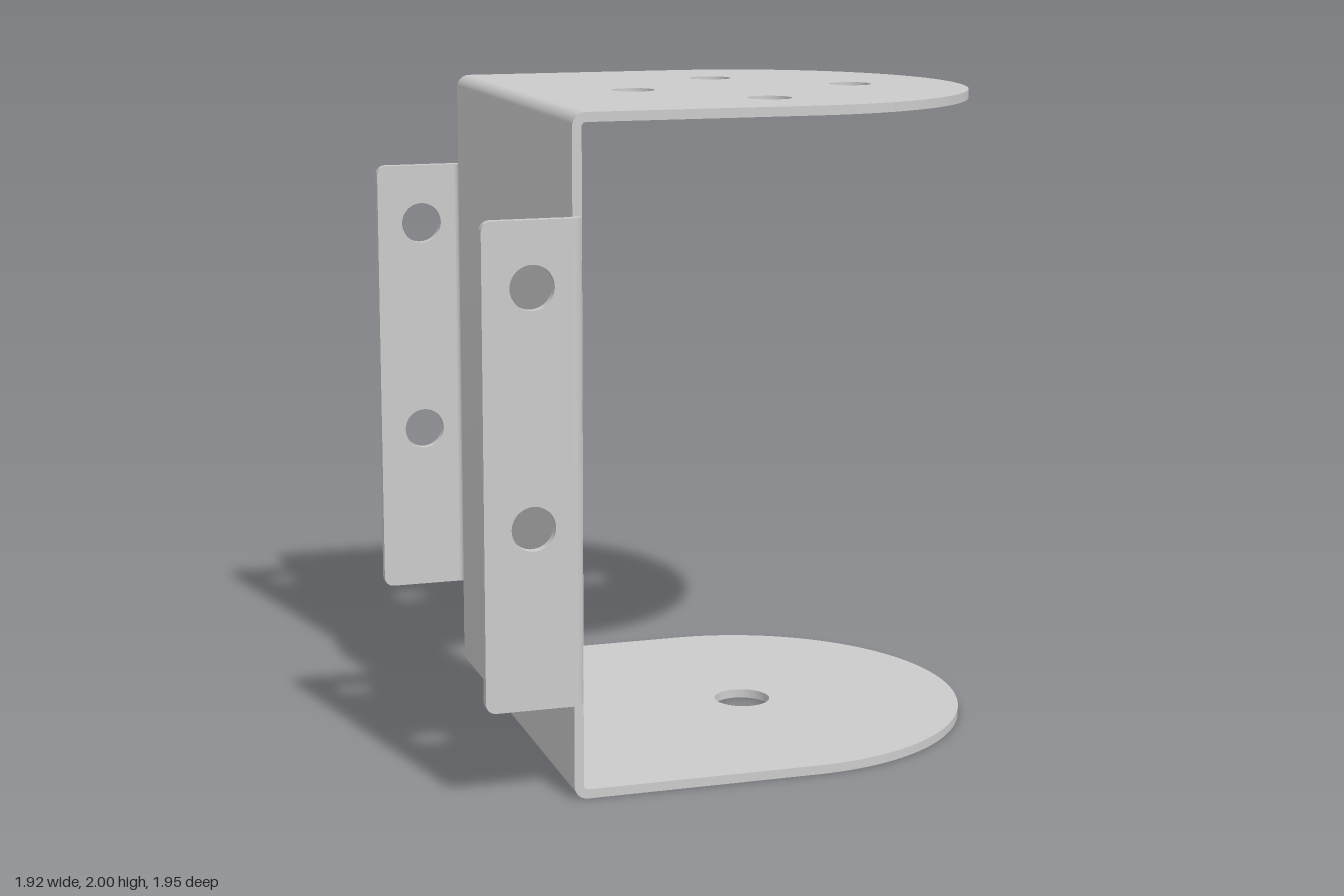
import * as THREE from 'three';
import { toCreasedNormals } from 'three/addons/utils/BufferGeometryUtils.js';

const T = 0.028;        // sheet thickness
const HALF = 0.695;     // half width of the back plate and arms
const HEIGHT = 2;
const BEND = 0.04;      // outer bend radius

const material = new THREE.MeshStandardMaterial({ color: 0xcccccc });

function extrude(shape, depth) {
  return new THREE.ExtrudeGeometry(shape, { depth, bevelEnabled: false, curveSegments: 32 });
}

function addMesh(parent, name, geometry) {
  const mesh = new THREE.Mesh(toCreasedNormals(geometry, 0.5), material);
  mesh.name = name;
  parent.add(mesh);
}

function addHole(shape, x, y, r) {
  const hole = new THREE.Path();
  hole.absarc(x, y, r, 0, Math.PI * 2, true);
  shape.holes.push(hole);
}

// Points along an arc, from angle a to angle b
function arc(cx, cy, r, a, b, n = 8) {
  return Array.from({ length: n + 1 }, (_, i) => {
    const t = a + (b - a) * i / n;
    return new THREE.Vector2(cx + r * Math.cos(t), cy + r * Math.sin(t));
  });
}

// Horizontal arm with a round end; shape is drawn as (across, outward)
function armGeometry(centre, holes, y) {
  const shape = new THREE.Shape();
  shape.moveTo(-HALF, BEND);
  shape.lineTo(HALF, BEND);
  shape.lineTo(HALF, centre);
  shape.absarc(0, centre, HALF, 0, Math.PI, false);
  shape.closePath();
  holes.forEach(([u, v, r]) => addHole(shape, u, v, r));
  return extrude(shape, T).rotateX(-Math.PI / 2).translate(0, y, 0);
}

// Back plate with its top and bottom bends, as a C profile run across the width
function backGeometry() {
  const q = Math.PI / 2, inner = BEND - T, top = HEIGHT - BEND;
  const shape = new THREE.Shape([
    ...arc(BEND, top, BEND, q, 2 * q),
    ...arc(BEND, BEND, BEND, 2 * q, 3 * q),
    ...arc(BEND, BEND, inner, 3 * q, 2 * q),
    ...arc(BEND, top, inner, 2 * q, q),
  ]);
  return extrude(shape, HALF * 2).rotateY(q).translate(-HALF, 0, 0);
}

// Side flange: a curved bend plus a drilled plate that points forward
function addFlange(parent, side, name) {
  const low = 0.295, high = 1.71, tip = -0.27, r = 0.03;
  const outer = 0.726, inner = BEND - T, c = outer - BEND;
  const flange = new THREE.Group();
  flange.name = name;

  const bend = new THREE.Shape([
    ...arc(c, -inner, BEND, 0, Math.PI / 2),
    ...arc(c, -inner, inner, Math.PI / 2, 0),
  ].map(p => new THREE.Vector2(p.x * side, p.y)));
  addMesh(flange, 'flangeBend', extrude(bend, high - low).rotateX(-Math.PI / 2).translate(0, low, 0));

  const plate = new THREE.Shape([
    new THREE.Vector2(-inner, low),
    new THREE.Vector2(-inner, high),
    ...arc(tip + r, high - r, r, Math.PI / 2, Math.PI),
    ...arc(tip + r, low + r, r, Math.PI, Math.PI * 1.5),
  ]);
  for (const y of [0.83, 1.52]) addHole(plate, -0.125, y, 0.065);
  addMesh(flange, 'flangePlate',
    extrude(plate, T).rotateY(Math.PI / 2).translate(side > 0 ? outer - T : -outer, 0, 0));
  parent.add(flange);
}

export function createModel() {
  const bracket = new THREE.Group();
  bracket.name = 'bracket';

  addMesh(bracket, 'backPlate', backGeometry());
  addMesh(bracket, 'topArm', armGeometry(0.74, [
    [-0.345, 0.753, 0.065], [0, 1.098, 0.065], [0.026, 0.381, 0.065], [0.405, 0.685, 0.065],
  ], HEIGHT - T));
  addMesh(bracket, 'bottomArm', armGeometry(0.759, [[0.01, 0.755, 0.088]], 0));
  addFlange(bracket, 1, 'leftFlange');
  addFlange(bracket, -1, 'rightFlange');

  // The bracket stands turned about the vertical axis
  bracket.rotation.y = -0.7275;
  bracket.position.set(-0.243, 0, 0.287);

  const model = new THREE.Group();
  model.name = 'model';
  model.add(bracket);
  return model;
}
